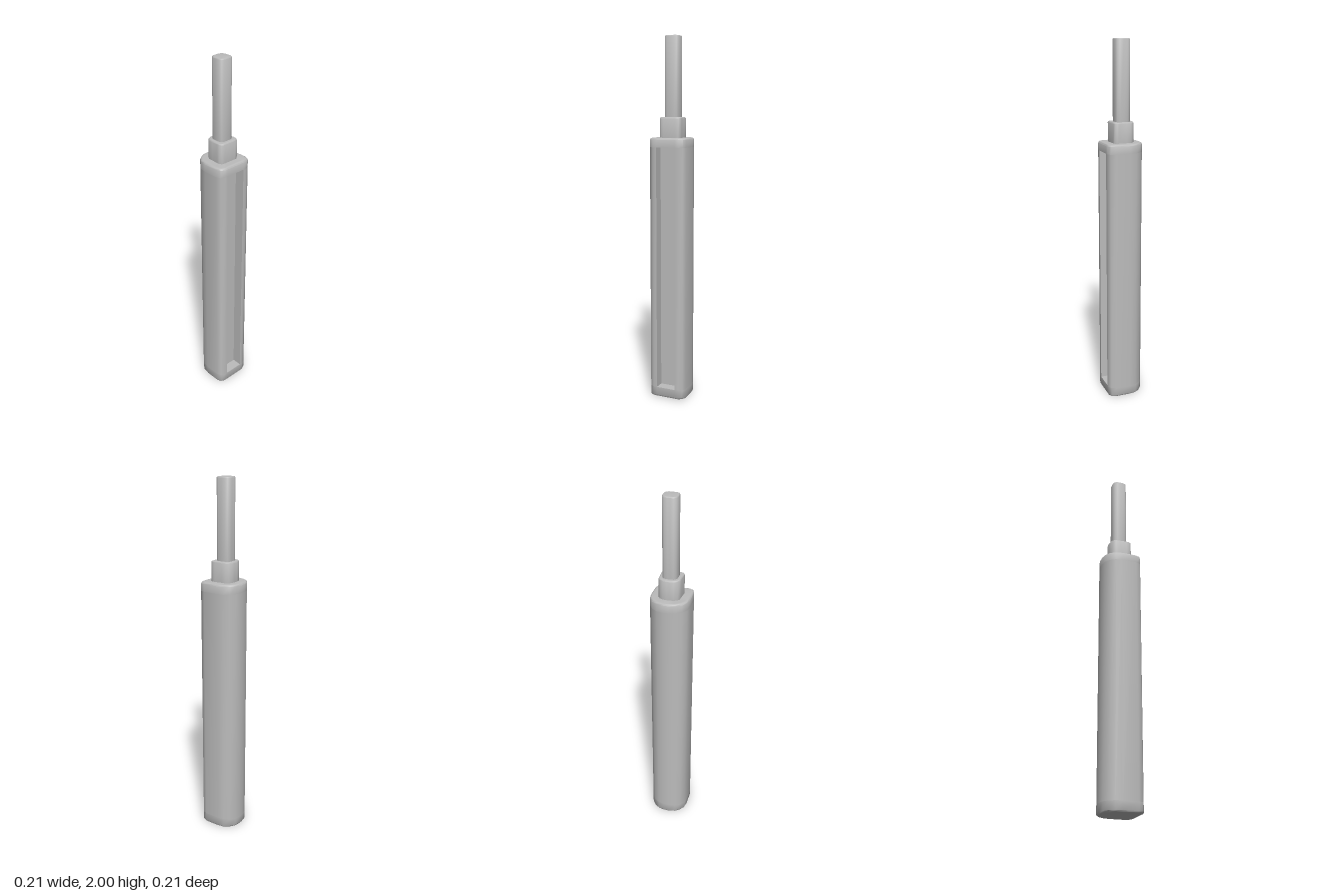
import * as THREE from 'three';
import { toCreasedNormals } from 'three/addons/utils/BufferGeometryUtils.js';

const CREASE = 0.85;

// Mirrors a half outline (x, z pairs, front to back on +x) into a closed loop.
const mirror = (half) => [...half, ...half.map(([x, z]) => [-x, z]).reverse()];

// Skins an outline through rings of [height, scale], with optional end caps.
function loft(outline, rings, capBottom, capTop) {
  const n = outline.length;
  const pos = [];
  const index = [];
  for (const [y, s] of rings) for (const [x, z] of outline) pos.push(x * s, y, z * s);
  for (let r = 0; r < rings.length - 1; r++) {
    for (let i = 0; i < n; i++) {
      const a = r * n + i;
      const b = r * n + (i + 1) % n;
      index.push(a, b, b + n, a, b + n, a + n);
    }
  }
  const cap = (r, up) => {
    const centre = pos.length / 3;
    pos.push(0, rings[r][0], 0);
    for (let i = 0; i < n; i++) {
      const a = r * n + i;
      const b = r * n + (i + 1) % n;
      if (up) index.push(centre, a, b);
      else index.push(centre, b, a);
    }
  };
  if (capBottom) cap(0, false);
  if (capTop) cap(rings.length - 1, true);
  const geo = new THREE.BufferGeometry();
  geo.setAttribute('position', new THREE.Float32BufferAttribute(pos, 3));
  geo.setIndex(index);
  return toCreasedNormals(geo, CREASE);
}

// Rings for a softened edge ending at height y; dir is 1 for a top, -1 for a bottom.
function softEdge(y, b, radius, dir) {
  const s = (inset) => 1 - inset / radius;
  const rings = [[y - dir * b, 1], [y - dir * b * 0.3, s(b * 0.3)], [y, s(b)], [y, s(b * 1.6)]];
  return dir > 0 ? rings : rings.reverse();
}

export function createModel() {
  const model = new THREE.Group();
  const grey = new THREE.MeshStandardMaterial({ color: 0xbcbcbc });
  grey.name = 'grey';
  const add = (name, geo, parent = model) => {
    const mesh = new THREE.Mesh(geo, grey);
    mesh.name = name;
    parent.add(mesh);
    return mesh;
  };

  // Body: flat front, rounded back, with a long slot in the front
  const slotX = 0.055, slotLow = 0.055, slotHigh = 1.41, slotBack = 0.05, frontZ = 0.106;
  const bodyOutline = mirror([
    [slotX, frontZ], [0.075, frontZ], [0.097, 0.095], [0.106, 0.07], [0.106, -0.015],
    [0.1, -0.05], [0.08, -0.08], [0.05, -0.1], [0.014, -0.107],
  ]);
  const slottedOutline = [...bodyOutline, [-slotX, slotBack], [slotX, slotBack]];
  const body = new THREE.Group();
  body.name = 'body';
  model.add(body);
  add('bodyBase', loft(bodyOutline, [...softEdge(0, 0.009, 0.1, -1), [slotLow, 1]], true, false), body);
  add('bodyMiddle', loft(slottedOutline, [[slotLow, 1], [slotHigh, 1]], false, false), body);
  add('bodyTop', loft(bodyOutline, [[slotHigh, 1], ...softEdge(1.46, 0.009, 0.1, 1)], false, true), body);

  // End faces of the slot
  for (const [name, y, turn] of [['slotFloor', slotLow, -1], ['slotCeiling', slotHigh, 1]]) {
    const end = add(name, new THREE.PlaneGeometry(2 * slotX, frontZ - slotBack), body);
    end.rotation.x = turn * Math.PI / 2;
    end.position.set(0, y, (frontZ + slotBack) / 2);
  }

  // Collar between body and rod
  const collarOutline = mirror([
    [0.035, 0.06], [0.052, 0.058], [0.061, 0.045], [0.061, 0.03], [0.058, -0.01],
    [0.057, -0.035], [0.047, -0.05], [0.03, -0.058], [0.008, -0.062],
  ]);
  add('collar', loft(collarOutline, [[1.455, 1], ...softEdge(1.57, 0.006, 0.058, 1)], false, true));

  // Slim rod
  const rodOutline = mirror([
    [0.022, 0.04], [0.034, 0.035], [0.04, 0.022], [0.041, 0],
    [0.04, -0.02], [0.034, -0.033], [0.024, -0.04], [0.008, -0.042],
  ]);
  add('rod', loft(rodOutline, [[1.565, 1], ...softEdge(2, 0.005, 0.04, 1)], false, true));

  return model;
}
